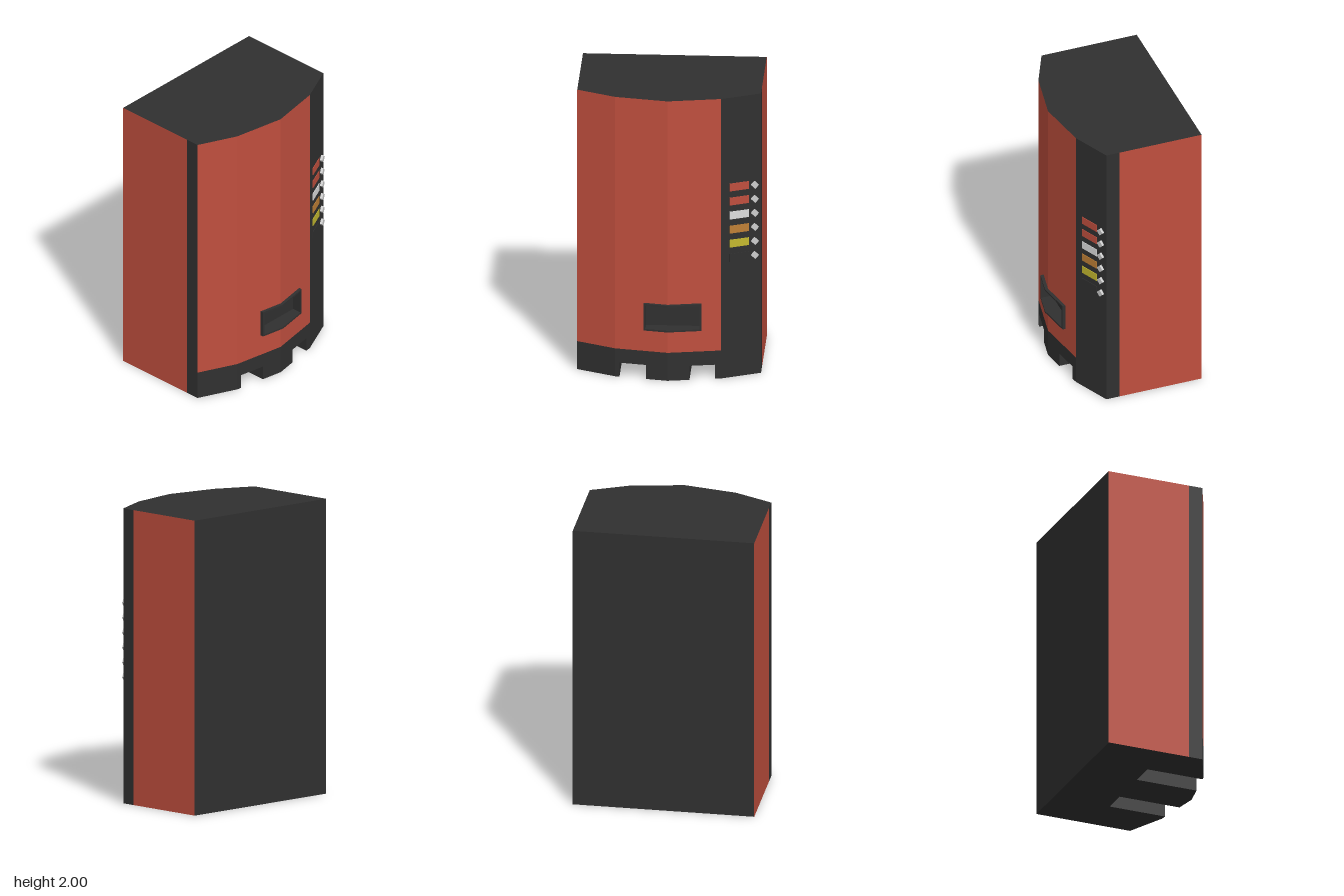
import * as THREE from 'three';

const mat = (name, color) => {
  const m = new THREE.MeshStandardMaterial({ color });
  m.name = name;
  return m;
};

// Faceted front of the cabinet in plan, [x, z]; it bulges toward +x
const FRONT = [[0.235, 0.615], [0.355, 0.355], [0.42, 0], [0.355, -0.355], [0.235, -0.615]];
const BACK = -0.445;
const TRIM = 0.14;

// x of the faceted front at a given z
function frontX(z) {
  for (let i = 0; i < FRONT.length - 1; i++) {
    const [a, b] = [FRONT[i], FRONT[i + 1]];
    if (z >= b[1]) return a[0] + (b[0] - a[0]) * (a[1] - z) / (a[1] - b[1]);
  }
  return FRONT[FRONT.length - 1][0];
}

// Upright prism over a plan of [x, z, slot]; slot picks the material of the wall that starts there
function prism(plan, y0, y1) {
  const pos = [];
  const geo = new THREE.BufferGeometry();
  const group = (slot, add) => {
    const start = pos.length / 3;
    add();
    geo.addGroup(start, pos.length / 3 - start, slot);
  };
  plan.forEach((a, i) => {
    const b = plan[(i + 1) % plan.length];
    group(a[2] || 0, () => pos.push(
      a[0], y0, a[1], b[0], y0, b[1], b[0], y1, b[1],
      a[0], y0, a[1], b[0], y1, b[1], a[0], y1, a[1]));
  });
  const contour = plan.map(p => new THREE.Vector2(p[0], -p[1]));
  group(0, () => {
    for (const [a, b, c] of THREE.ShapeUtils.triangulateShape(contour, [])) {
      for (const i of [a, b, c]) pos.push(plan[i][0], y1, plan[i][1]);
      for (const i of [a, c, b]) pos.push(plan[i][0], y0, plan[i][1]);
    }
  });
  geo.setAttribute('position', new THREE.Float32BufferAttribute(pos, 3));
  geo.computeVertexNormals();
  return geo;
}

// Cabinet plan, with notches [zHigh, zLow, innerX] cut in from the front
function cabinetPlan(frontSlot, notches = []) {
  const slot = z => (z > -0.355 ? frontSlot : 0);
  let pts = FRONT.filter(([, z]) => !notches.some(n => z < n[0] && z > n[1]))
    .map(([x, z]) => [x, z, slot(z)]);
  for (const [z0, z1, x] of notches) {
    pts.push([frontX(z0), z0, 0], [x, z0, 0], [x, z1, 0], [frontX(z1), z1, slot(z1)]);
  }
  pts.sort((a, b) => b[1] - a[1]);
  // red side walls with a dark trim strip next to the front
  return [...pts, [TRIM, -0.615, 1], [BACK, -0.615, 0], [BACK, 0.615, 1], [TRIM, 0.615, 0]];
}

export function createModel() {
  const dark = mat('charcoal', 0x303030);
  const red = mat('red', 0xc04f3e);
  const white = mat('white', 0xdedede);
  const orange = mat('orange', 0xc08036);
  const yellow = mat('yellow', 0xc4b92f);
  const silver = mat('silver', 0xcccccc);

  const model = new THREE.Group();
  model.name = 'vendingMachine';
  const add = (parent, name, geo, material) => {
    const m = new THREE.Mesh(geo, material);
    m.name = name;
    parent.add(m);
    return m;
  };

  // Cabinet in stacked layers: slotted base, plinth, door with a hatch recess
  const skin = [dark, red];
  const forkSlots = [[0.325, 0.145, -0.04], [-0.145, -0.315, -0.04]];
  const hatch = [[0.152, -0.214, 0.335]];
  const layers = [
    ['slottedBase', 0, 0.1, 0, forkSlots],
    ['plinth', 0.1, 0.2, 0, []],
    ['lowerCabinet', 0.2, 0.365, 1, []],
    ['hatchCabinet', 0.365, 0.533, 1, hatch],
    ['upperCabinet', 0.533, 2, 1, []],
  ];
  for (const [name, y0, y1, slot, notches] of layers) {
    add(model, name, prism(cabinetPlan(slot, notches), y0, y1), skin);
  }

  // Raised lip around the delivery hatch, following the bend of the front
  const frame = new THREE.Group();
  frame.name = 'hatchFrame';
  model.add(frame);
  const lip = (zs) => [
    ...zs.map(z => [frontX(z) + 0.022, z]),
    ...[...zs].reverse().map(z => [frontX(z) - 0.005, z]),
  ];
  add(frame, 'frameBottom', prism(lip([0.163, 0, -0.226]), 0.354, 0.366), dark);
  add(frame, 'frameTop', prism(lip([0.163, 0, -0.226]), 0.532, 0.544), dark);
  add(frame, 'frameLeft', prism(lip([0.163, 0.151]), 0.366, 0.532), dark);
  add(frame, 'frameRight', prism(lip([-0.213, -0.226]), 0.366, 0.532), dark);

  // Selection panel on the last facet: coloured labels with diamond buttons
  const panel = new THREE.Group();
  panel.name = 'selectionPanel';
  panel.position.set(0.295, 0, -0.485);
  panel.rotation.y = Math.atan2(0.26, -0.12);
  model.add(panel);
  const labelGeo = new THREE.BoxGeometry(0.138, 0.055, 0.008);
  const buttonGeo = new THREE.BoxGeometry(0.038, 0.038, 0.03);
  [red, red, white, orange, yellow, dark].forEach((m, i) => {
    const y = 1.358 - i * 0.1005;
    add(panel, 'label', labelGeo, m).position.set(-0.014, y, 0);
    const button = add(panel, 'button', buttonGeo, silver);
    button.position.set(0.096, y - 0.002, 0.002);
    button.rotation.z = Math.PI / 4;
  });

  return model;
}
